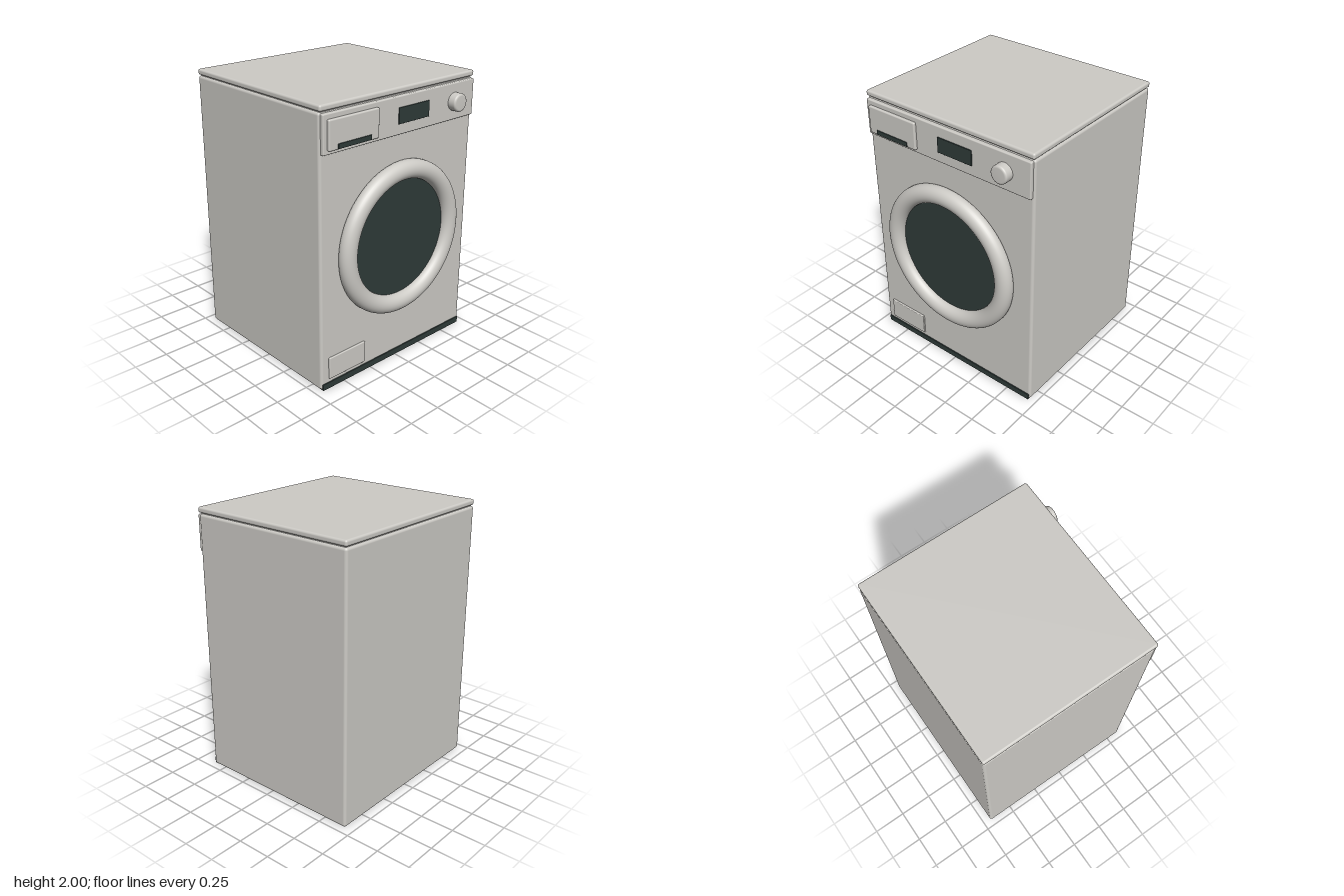
import * as THREE from 'three';
import { RoundedBoxGeometry } from 'three/addons/geometries/RoundedBoxGeometry.js';

export function createModel() {
  const group = new THREE.Group();
  group.name = 'washingMachine';

  const enamel = new THREE.MeshStandardMaterial({ color: 0xcdcbc6 });
  enamel.name = 'enamel';
  const darkGlass = new THREE.MeshStandardMaterial({ color: 0x2f3b39 });
  darkGlass.name = 'darkGlass';

  const add = (name, geometry, material) => {
    const mesh = new THREE.Mesh(geometry, material);
    mesh.name = name;
    group.add(mesh);
    return mesh;
  };

  // Rounded box given by its limits on each axis
  const box = (name, material, [x0, x1], [y0, y1], [z0, z1], radius) => {
    const geometry = new RoundedBoxGeometry(x1 - x0, y1 - y0, z1 - z0, 3, radius);
    geometry.translate((x0 + x1) / 2, (y0 + y1) / 2, (z0 + z1) / 2);
    return add(name, geometry, material);
  };

  // Turned part whose axis points to the front; profile is [radius, z]
  const turned = (name, material, x, y, profile, segments) => {
    const points = profile.map(([r, z]) => new THREE.Vector2(r, z));
    const geometry = new THREE.LatheGeometry(points, segments);
    geometry.rotateX(Math.PI / 2);
    geometry.translate(x, y, 0);
    return add(name, geometry, material);
  };

  // Cabinet, lid and plinth
  box('cabinet', enamel, [-0.704, 0.704], [0.005, 1.953], [-0.69, 0.605], 0.02);
  box('lid', enamel, [-0.705, 0.705], [1.958, 2], [-0.69, 0.615], 0.015);
  box('lidSeat', enamel, [-0.69, 0.69], [1.94, 1.97], [-0.675, 0.595], 0.004);
  box('plinth', darkGlass, [-0.692, 0.692], [0, 0.048], [0.57, 0.613], 0.004);

  // Control panel
  box('controlPanel', enamel, [-0.692, 0.692], [1.686, 1.945], [0.58, 0.628], 0.008);
  box('detergentDrawer', enamel, [-0.66, -0.238], [1.711, 1.91], [0.61, 0.648], 0.01);
  box('drawerGrip', darkGlass, [-0.59, -0.31], [1.716, 1.75], [0.62, 0.654], 0.003);
  box('display', darkGlass, [-0.05, 0.235], [1.76, 1.87], [0.61, 0.635], 0.002);
  turned('programKnob', enamel, 0.493, 1.815, [
    [0.064, 0.62], [0.064, 0.675], [0.062, 0.683], [0.056, 0.688], [0.048, 0.69], [0, 0.69],
  ], 48);

  // Filter hatch
  box('filterHatch', enamel, [-0.637, -0.308], [0.075, 0.238], [0.59, 0.618], 0.006);

  // Door: ring with rounded front, closed at the back, around a flat glass
  const ring = [[0.425, 0.608], [0.545, 0.608], [0.555, 0.612]];
  for (let i = 0; i <= 16; i++) {
    const a = (i / 16) * Math.PI;
    ring.push([0.489 + 0.066 * Math.cos(a), 0.63 + 0.06 * Math.sin(a)]);
  }
  ring.push([0.425, 0.608]);
  turned('doorRing', enamel, 0, 0.945, ring, 96);
  const glass = new THREE.CylinderGeometry(0.45, 0.45, 0.025, 96);
  glass.rotateX(Math.PI / 2);
  glass.translate(0, 0.945, 0.6125);
  add('doorGlass', glass, darkGlass);

  return group;
}
